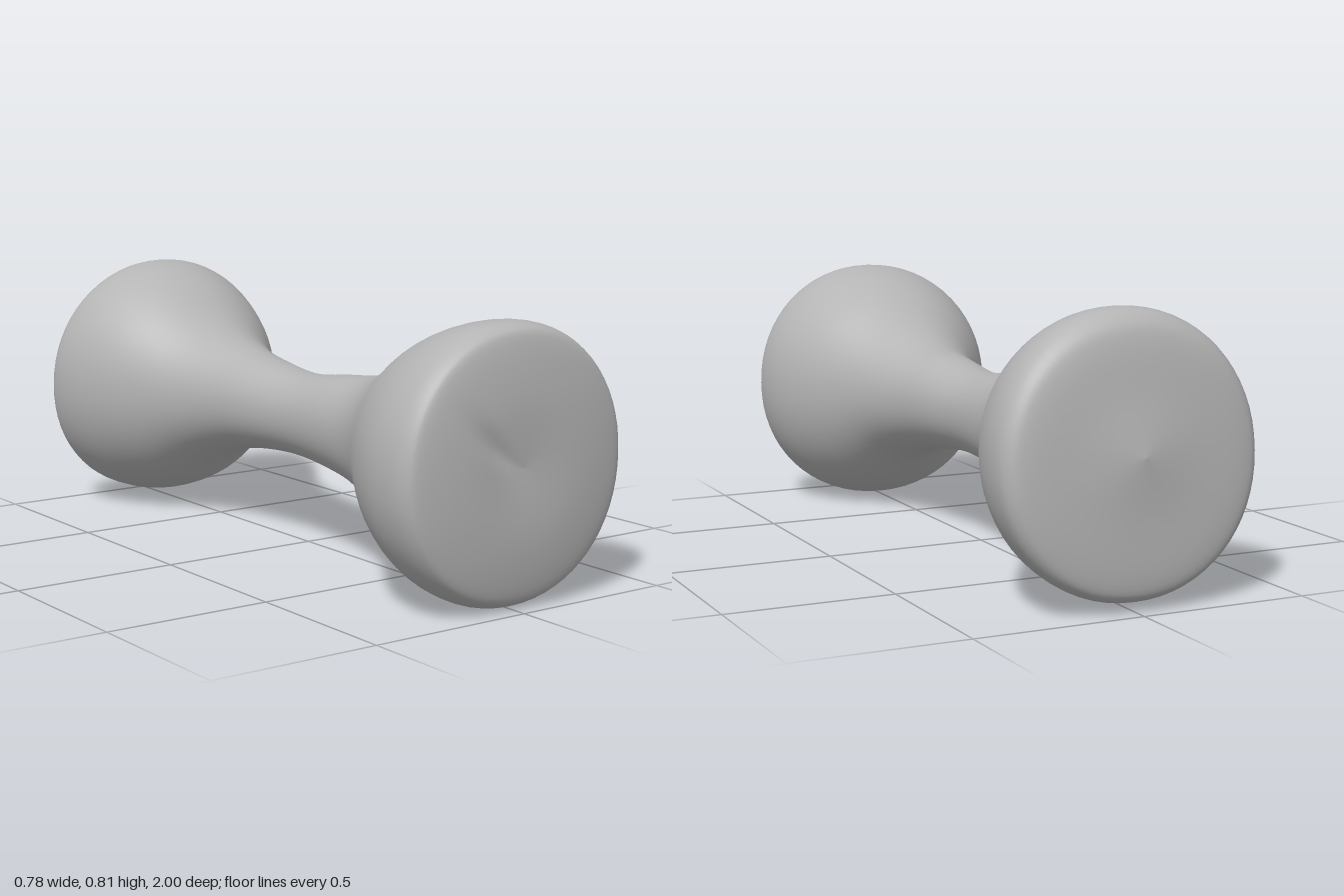
import * as THREE from 'three';

// Cross-sections from front to back: z, half width, top y, bottom y
const sections = [
  [0.993, 0, 0.40, 0.40],
  [0.999, 0.18, 0.58, 0.21],
  [0.98, 0.335, 0.735, 0.06],
  [0.95, 0.378, 0.778, 0.014],
  [0.88, 0.388, 0.787, 0.002],
  [0.78, 0.372, 0.768, 0.018],
  [0.66, 0.32, 0.72, 0.07],
  [0.50, 0.222, 0.625, 0.18],
  [0.36, 0.168, 0.57, 0.23],
  [0.20, 0.14, 0.55, 0.258],
  [0.00, 0.125, 0.53, 0.275],
  [-0.20, 0.14, 0.55, 0.265],
  [-0.36, 0.168, 0.582, 0.236],
  [-0.50, 0.225, 0.635, 0.18],
  [-0.65, 0.317, 0.74, 0.09],
  [-0.78, 0.37, 0.80, 0.04],
  [-0.88, 0.387, 0.81, 0.025],
  [-0.94, 0.375, 0.783, 0.035],
  [-0.966, 0.32, 0.72, 0.09],
  [-0.98, 0.16, 0.57, 0.27],
  [-0.998, 0, 0.425, 0.425],
];

// Catmull-Rom blend of whole sections
function sectionAt(i, t) {
  const last = sections.length - 1;
  const [p0, p1, p2, p3] = [i - 1, i, i + 1, i + 2].map(k => sections[Math.min(last, Math.max(0, k))]);
  return p1.map((b, k) => {
    const a = p0[k], c = p2[k], d = p3[k];
    return b + 0.5 * t * (c - a + t * (2 * a - 5 * b + 4 * c - d + t * (3 * (b - c) + d - a)));
  });
}

// Shallow diagonal groove pressed into the front face
function groove(x, y) {
  const u = (x + 0.10) * 0.7 - (y - 0.46) * 0.7;
  const v = (x + 0.10) * 0.7 + (y - 0.46) * 0.7;
  return 0.014 * Math.exp(-((u / 0.1) ** 2) - (v / 0.03) ** 2);
}

function loftGeometry(steps, sides) {
  const positions = [], indices = [];
  const rings = (sections.length - 1) * steps + 1;
  const round = v => Math.sign(v) * Math.abs(v) ** 0.96; // slightly squared circle
  for (let r = 0; r < rings; r++) {
    const i = Math.min(Math.floor(r / steps), sections.length - 2);
    const [z, w, top, bottom] = sectionAt(i, r / steps - i);
    const tilt = 0.055 * THREE.MathUtils.smoothstep(-z, 0.8, 0.95); // leaning back face
    for (let j = 0; j < sides; j++) {
      const a = (j / sides) * Math.PI * 2;
      const x = w * round(Math.cos(a));
      const dy = ((top - bottom) / 2) * round(Math.sin(a));
      const y = (top + bottom) / 2 + dy;
      positions.push(x, y, z + tilt * dy - (z > 0.95 ? groove(x, y) : 0));
      if (r < rings - 1) {
        const p = r * sides + j, q = r * sides + (j + 1) % sides;
        indices.push(p, p + sides, q, q, p + sides, q + sides);
      }
    }
  }
  const geometry = new THREE.BufferGeometry();
  geometry.setAttribute('position', new THREE.Float32BufferAttribute(positions, 3));
  geometry.setIndex(indices);
  geometry.computeVertexNormals();
  return geometry;
}

export function createModel() {
  const group = new THREE.Group();
  group.name = 'dumbbell';
  const grey = new THREE.MeshStandardMaterial({ color: 0xb4b4b4 });
  grey.name = 'plain grey';

  // One continuous skin: front head, waisted handle, back head
  const body = new THREE.Mesh(loftGeometry(5, 64), grey);
  body.name = 'headsAndHandle';
  group.add(body);
  return group;
}
